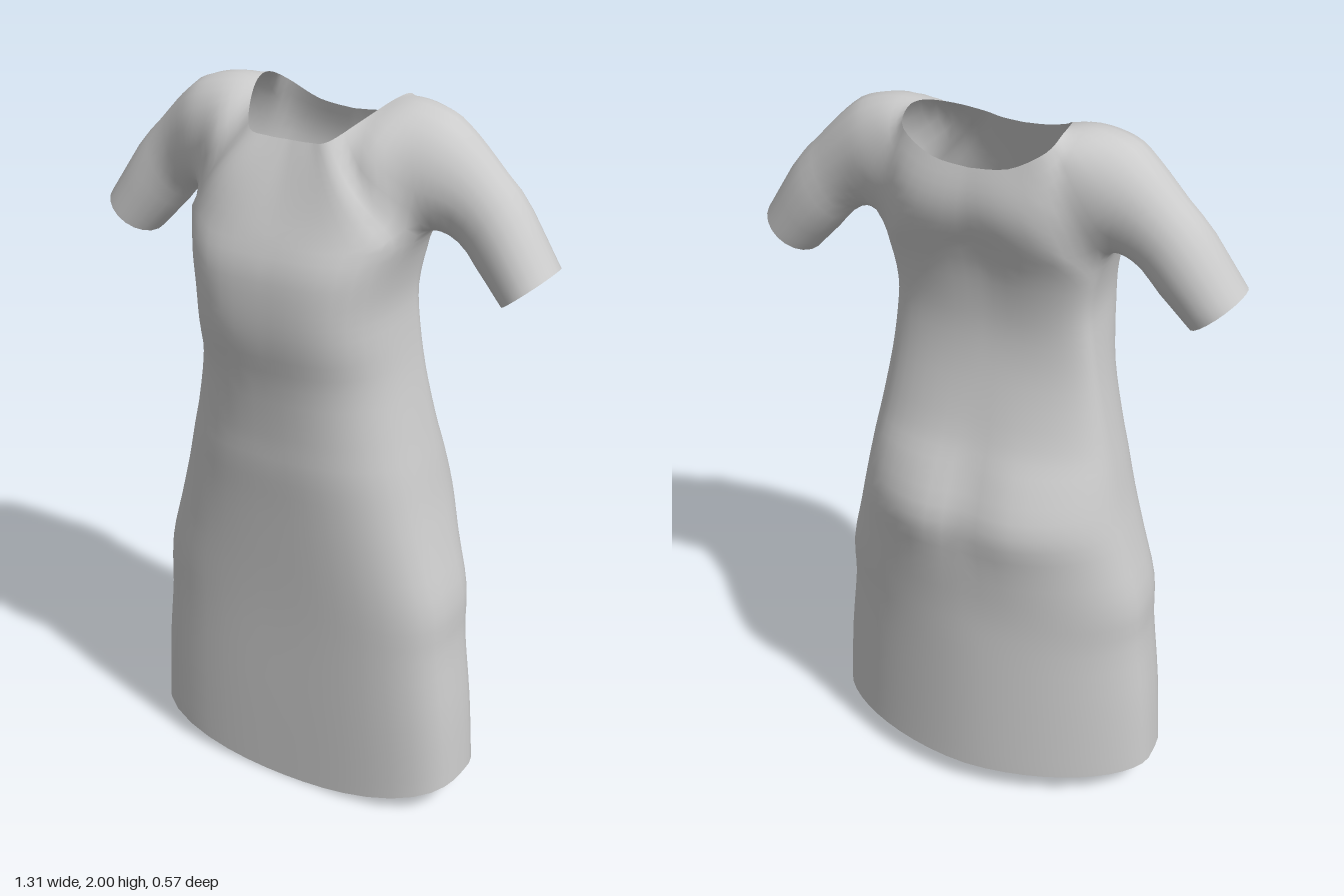
import * as THREE from 'three';

const HALF = 24;        // columns from centre front to centre back
const SPLIT = 9;        // column where the armhole begins
const OVER = 14;        // columns over the top of the armhole
const YOKE = SPLIT * 2 + OVER;
const SEAM_Z = -0.035;  // depth of the side seams

// Body sections: height, half width, front z, back -z, front squareness, back squareness, spine groove
const SECTIONS = [
  [0.00, 0.490, 0.190, 0.260, 3.7, 1.75, 0],
  [0.25, 0.475, 0.198, 0.260, 3.7, 1.75, 0],
  [0.50, 0.450, 0.205, 0.260, 3.7, 1.8, 0],
  [0.65, 0.445, 0.212, 0.262, 3.5, 1.9, 0.002],
  [0.80, 0.408, 0.222, 0.278, 3.2, 2.0, 0.010],
  [0.93, 0.375, 0.232, 0.296, 3.0, 2.1, 0.027],
  [1.05, 0.350, 0.243, 0.245, 2.8, 2.2, 0.025],
  [1.15, 0.328, 0.247, 0.187, 2.7, 2.3, 0.008],
  [1.30, 0.297, 0.262, 0.140, 2.7, 2.4, 0],
  [1.42, 0.278, 0.285, 0.122, 3.2, 2.6, 0],
  [1.52, 0.270, 0.290, 0.127, 3.6, 2.7, 0.004],
  [1.62, 0.286, 0.280, 0.148, 3.6, 2.8, 0.010],
  [1.70, 0.312, 0.248, 0.178, 3.2, 2.9, 0.014],
];
const WAIST = 8;        // section where skirt meets bodice

// Neckline of the left half, centre front to centre back
const NECK = [
  [0, 1.91, 0.135], [0.06, 1.912, 0.139], [0.112, 1.922, 0.138], [0.16, 1.962, 0.06], [0.195, 1.995, -0.03],
  [0.204, 1.998, -0.1], [0.185, 1.968, -0.16], [0.1, 1.922, -0.182], [0, 1.91, -0.185],
];
// Armhole above the armpit, front to back (ends are joined to the body)
const ARMHOLE = [
  [0.32, 1.8, 0.118], [0.345, 1.91, 0.1], [0.368, 1.975, 0.045], [0.378, 1.996, -0.03],
  [0.37, 1.98, -0.1], [0.345, 1.92, -0.15], [0.325, 1.81, -0.175],
];
const SHOULDER = new THREE.Vector3(0.33, 1.82, -0.03);

// Smooth interpolation through rows of numbers, t from 0 to 1
function spline(rows, t) {
  const last = rows.length - 1;
  const i = Math.min(Math.floor(t * last), last - 1);
  const f = t * last - i;
  const [a, b, c, d] = [i - 1, i, i + 1, i + 2].map((k) => rows[THREE.MathUtils.clamp(k, 0, last)]);
  return b.map((p, k) => p + 0.5 * f * (c[k] - a[k]
    + f * (2 * a[k] - 5 * p + 4 * c[k] - d[k] + f * (3 * (p - c[k]) + d[k] - a[k]))));
}

const range = (n, fn) => Array.from({ length: n + 1 }, (_, i) => fn(i));

// Half ring of the body, centre front to centre back
function bodyRing(t) {
  const [y, w, front, back, nf, nb, groove] = spline(SECTIONS, t);
  return range(HALF, (i) => {
    const angle = (i / HALF) * Math.PI;
    const s = i === 0 || i === HALF ? 0 : Math.sin(angle);
    const c = Math.cos(angle);
    const n = c > 0 ? nf : nb;
    const r = 1 / Math.pow(Math.pow(s, n) + Math.pow(Math.abs(c), n), 1 / n);
    const x = w * s * r;
    let z = SEAM_Z + c * r * (c > 0 ? front - SEAM_Z : back + SEAM_Z);
    if (c < 0) z += groove * Math.exp(-((x / 0.08) ** 2));
    // the hem rises to the sides and stays up at the back
    const side = (x / w) ** 2;
    const lift = (c > 0 ? 0.09 * side : 0.07 + 0.02 * side) * Math.max(0, 1 - y / 0.6);
    return [x, y + lift, z];
  });
}

// Oval sleeve ring; (ux, uy) points from its centre to its top
function sleeveRing(count, cx, cy, cz, ux, uy, rz) {
  return range(count - 1, (k) => {
    const a = ((k - OVER / 2) / count) * Math.PI * 2;
    return [cx + ux * Math.cos(a), cy + uy * Math.cos(a), cz - rz * Math.sin(a)];
  });
}

// Relaxes the cloth around each shoulder, fading out before the neckline
function relaxShoulders(position, index, passes) {
  const neighbours = range(position.count - 1, () => new Set());
  index.forEach((v, i) => {
    const start = i - (i % 3);
    neighbours[v].add(index[start + ((i + 1) % 3)]).add(index[start + ((i + 2) % 3)]);
  });
  const points = neighbours.map((_, i) => new THREE.Vector3().fromBufferAttribute(position, i));
  const weights = points.map(({ x, y, z }) => 0.5
    * (1 - THREE.MathUtils.smoothstep(SHOULDER.distanceTo(new THREE.Vector3(Math.abs(x), y, z)), 0.17, 0.215)));
  for (let pass = 0; pass < passes; pass++) {
    const means = neighbours.map((set) => {
      const mean = new THREE.Vector3();
      set.forEach((k) => mean.add(points[k]));
      return mean.divideScalar(set.size);
    });
    points.forEach((p, i) => p.lerp(means[i], weights[i]));
  }
  points.forEach((p, i) => position.setXYZ(i, p.x, p.y, p.z));
}

export function createModel() {
  const positions = [];
  const welded = new Map();
  const parts = { skirt: [], bodice: [], leftSleeve: [], rightSleeve: [] };

  // Shared vertices keep the shading smooth from part to part
  function vertex(x, y, z) {
    const key = [x, y, z].map((v) => Math.round(v * 1e5)).join();
    if (!welded.has(key)) {
      welded.set(key, positions.length / 3);
      positions.push(x, y, z);
    }
    return welded.get(key);
  }

  // Joins rows of points into a surface and its mirror image
  function surface(rows, left, right) {
    for (const side of [1, -1]) {
      const index = parts[side > 0 ? left : right];
      const ids = rows.map((row) => row.map(([x, y, z]) => vertex(side * x, y, z)));
      for (let r = 0; r < ids.length - 1; r++) {
        for (let c = 0; c < ids[r].length - 1; c++) {
          const [a, b, d, e] = [ids[r][c], ids[r][c + 1], ids[r + 1][c + 1], ids[r + 1][c]];
          if (side > 0) index.push(a, b, d, a, d, e);
          else index.push(a, d, b, a, e, d);
        }
      }
    }
  }

  // Skirt and bodice up to the armpits
  const steps = (SECTIONS.length - 1) * 3;
  const body = range(steps, (r) => bodyRing(r / steps));
  surface(body.slice(0, WAIST * 3 + 1), 'skirt', 'skirt');
  surface(body.slice(WAIST * 3), 'bodice', 'bodice');

  // Yoke between the chest, armholes and neckline
  const chest = body[steps];
  const armCurve = [chest[SPLIT], ...ARMHOLE, chest[HALF - SPLIT]];
  const armTop = range(OVER, (k) => spline(armCurve, k / OVER));
  const outer = [...chest.slice(0, SPLIT), ...armTop, ...chest.slice(HALF - SPLIT + 1)];
  const yoke = range(8, (r) => outer.map((p, j) => {
    const v = r / 8;
    const neck = spline(NECK, j / YOKE);
    const bulge = Math.sin(Math.PI * v);
    const chestFill = 0.042 * Math.exp(-(((j - SPLIT) / 4.5) ** 2));
    const backFill = 0.024 * THREE.MathUtils.smoothstep(j, YOKE * 0.5, YOKE * 0.7);
    const topFill = 0.012 * Math.exp(-(((j - YOKE / 2) / 4) ** 2));
    const [x, y, z] = p.map((q, k) => q + (neck[k] - q) * v);
    return [x, y + bulge * topFill, z + bulge * (chestFill - backFill)];
  }));
  surface(yoke, 'bodice', 'bodice');

  // Short sleeves from the armholes to the cuffs
  const armhole = [...armTop, ...chest.slice(SPLIT + 1, HALF - SPLIT).reverse()];
  const middle = sleeveRing(armhole.length, 0.445, 1.77, -0.042, 0.053, 0.103, 0.102);
  const cuff = sleeveRing(armhole.length, 0.59, 1.588, -0.027, 0.064, 0.053, 0.096);
  const sleeve = range(10, (r) => {
    const ring = armhole.map((p, k) => spline([cuff[k], middle[k], p], r / 10));
    return [...ring, ring[0]];
  });
  surface(sleeve, 'leftSleeve', 'rightSleeve');

  // The whole garment is smoothed at once, then shared by its parts
  const whole = new THREE.BufferGeometry();
  const index = Object.values(parts).flat();
  whole.setAttribute('position', new THREE.Float32BufferAttribute(positions, 3));
  whole.setIndex(index);
  relaxShoulders(whole.attributes.position, index, 8);
  whole.computeVertexNormals();

  const material = new THREE.MeshStandardMaterial({ color: 0xcccccc, side: THREE.DoubleSide });
  const group = new THREE.Group();
  group.name = 'dress';
  for (const [name, faces] of Object.entries(parts)) {
    const geometry = new THREE.BufferGeometry();
    geometry.setAttribute('position', whole.attributes.position);
    geometry.setAttribute('normal', whole.attributes.normal);
    geometry.setIndex(faces);
    const mesh = new THREE.Mesh(geometry, material);
    mesh.name = name;
    group.add(mesh);
  }
  return group;
}
